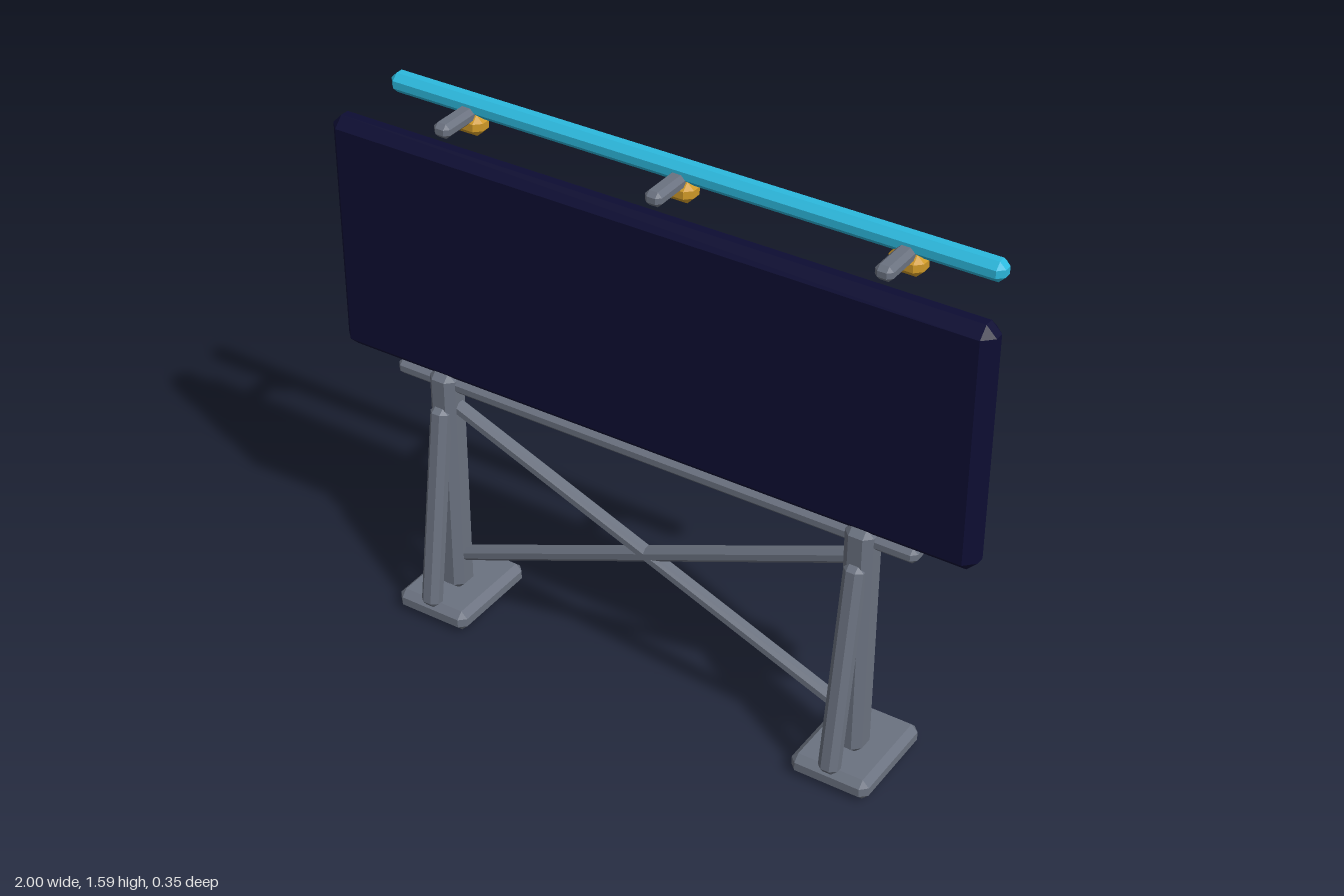
import * as THREE from 'three';
import { ConvexGeometry } from 'three/addons/geometries/ConvexGeometry.js';

const material = (name, color) => {
  const m = new THREE.MeshStandardMaterial({ color });
  m.name = name;
  return m;
};

// Box with every edge bevelled by c: each corner becomes three points
function bevelBox(w, h, d, c) {
  const half = [w / 2, h / 2, d / 2];
  const points = [];
  for (const sx of [-1, 1]) for (const sy of [-1, 1]) for (const sz of [-1, 1]) {
    for (let full = 0; full < 3; full++) {
      const p = half.map((v, i) => (i === full ? v : v - c));
      points.push(new THREE.Vector3(sx * p[0], sy * p[1], sz * p[2]));
    }
  }
  return new ConvexGeometry(points);
}

export function createModel() {
  const group = new THREE.Group();
  group.name = 'billboard';
  const navy = material('navy panel', 0x0d0d33);
  const pale = material('pale screen', 0xefeeec);
  const steel = material('grey steel', 0x6b7280);
  const cyan = material('cyan light', 0x2cb9de);
  const amber = material('amber lamp', 0xd09a28);

  // Bevelled block given by its extents along each axis
  function block(name, mat, [x0, x1], [y0, y1], [z0, z1], c) {
    const mesh = new THREE.Mesh(bevelBox(x1 - x0, y1 - y0, z1 - z0, c), mat);
    mesh.position.set((x0 + x1) / 2, (y0 + y1) / 2, (z0 + z1) / 2);
    mesh.name = name;
    group.add(mesh);
  }

  // Bevelled strut running between two points
  function strut(name, a, b, w, d, c) {
    const from = new THREE.Vector3(...a), to = new THREE.Vector3(...b);
    const dir = to.clone().sub(from);
    const mesh = new THREE.Mesh(bevelBox(w, dir.length(), d, c), steel);
    mesh.position.copy(from).add(to).multiplyScalar(0.5);
    mesh.quaternion.setFromUnitVectors(new THREE.Vector3(0, 1, 0), dir.normalize());
    mesh.name = name;
    group.add(mesh);
  }

  // Main board and the pale sheet on its back
  block('panel', navy, [-1, 1], [0.795, 1.522], [-0.02, 0.067], 0.03);
  block('screen', pale, [-0.925, 0.925], [0.86, 1.455], [-0.053, -0.005], 0.015);

  // Light tubes above and below
  block('topLightBar', cyan, [-0.93, 0.93], [1.532, 1.59], [-0.177, -0.118], 0.018);
  block('bottomLightBar', cyan, [-0.93, 0.93], [0.79, 0.84], [-0.084, -0.034], 0.015);

  // Lamp arms with amber lamps
  for (const x of [-0.667, 0, 0.667]) {
    block('lampArm', steel, [x - 0.026, x + 0.026], [1.52, 1.563], [-0.14, 0.003], 0.013);
    block('lamp', amber, [x - 0.05, x + 0.05], [1.483, 1.545], [-0.171, -0.103], 0.02);
  }

  // Service walkway
  block('walkway', steel, [-0.83, 0.83], [0.745, 0.793], [-0.127, 0.045], 0.015);

  // Legs: foot, post and leaning front brace on each side
  for (const x of [-0.667, 0.667]) {
    block('foot', steel, [x - 0.12, x + 0.12], [0, 0.066], [-0.153, 0.16], 0.02);
    block('post', steel, [x - 0.043, x + 0.043], [0.06, 0.81], [-0.02, 0.067], 0.022);
    strut('frontBrace', [x, 0.055, 0.148], [x, 0.7, 0.055], 0.06, 0.055, 0.017);
  }

  // Crossed bracing between the posts
  for (const s of [-1, 1]) {
    strut('crossBrace', [-0.66 * s, 0.168, 0.022], [0.66 * s, 0.705, 0.022], 0.042, 0.042, 0.012);
  }
  return group;
}
